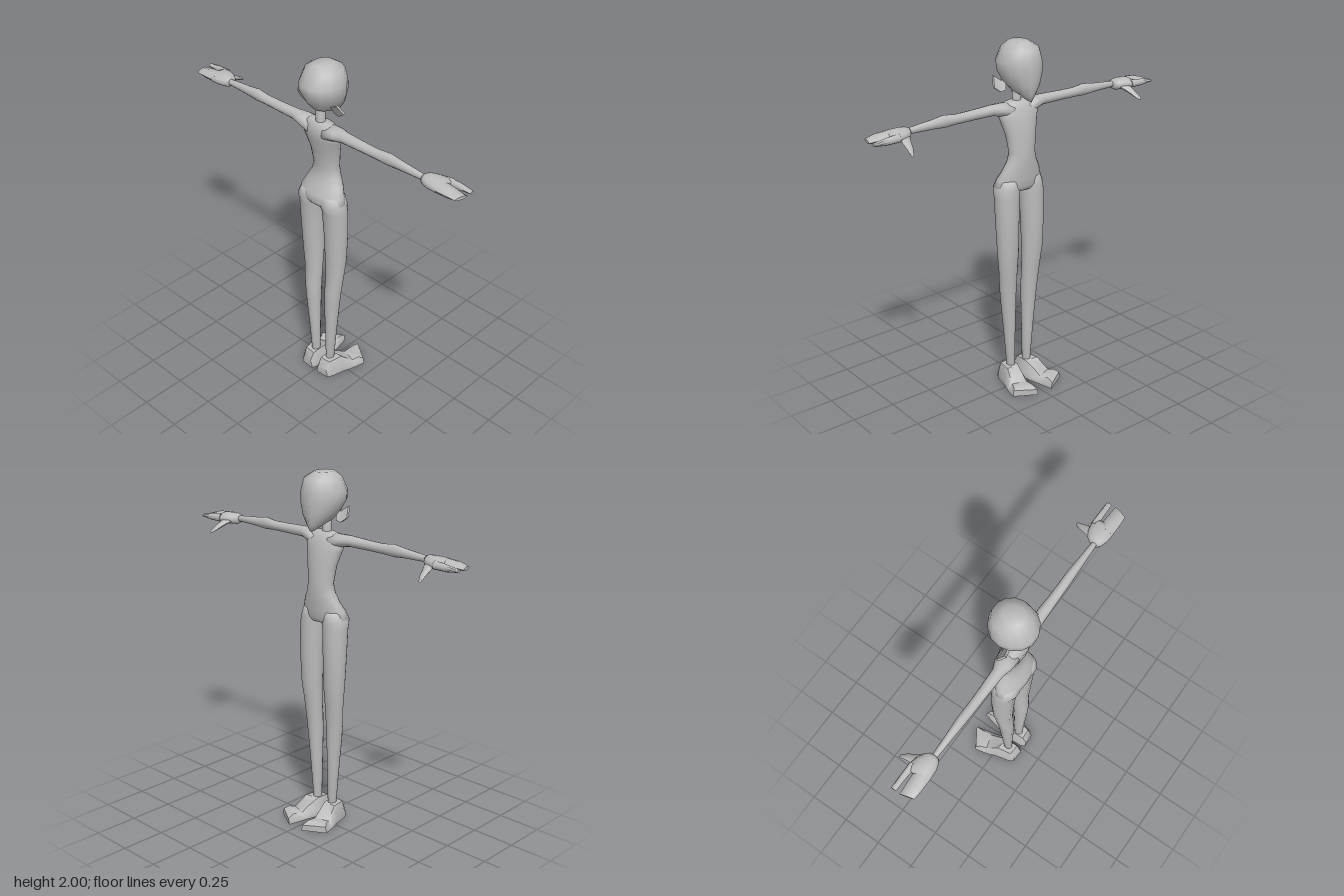
import * as THREE from 'three';
import { toCreasedNormals } from 'three/addons/utils/BufferGeometryUtils.js';

const grey = new THREE.MeshStandardMaterial({ color: 0xbcbcbc });
grey.name = 'plain grey';

// Skins a stack of equal-length rings of [x, y, z] points and caps both ends.
function loft(rings, crease = 0) {
  const n = rings[0].length, pts = rings.flat(), index = [];
  for (let r = 0; r < rings.length - 1; r++) {
    for (let i = 0; i < n; i++) {
      const a = r * n + i, b = r * n + (i + 1) % n;
      index.push(a, b, b + n, a, b + n, a + n);
    }
  }
  for (const last of [false, true]) {
    const start = last ? pts.length - n : 0;
    const ring = last ? rings[rings.length - 1] : rings[0];
    const centre = [0, 1, 2].map(k => ring.reduce((s, p) => s + p[k], 0) / n);
    const c = rings.length * n + (last ? 1 : 0);
    for (let i = 0; i < n; i++) {
      const a = start + i, b = start + (i + 1) % n;
      if (last) index.push(a, b, c); else index.push(b, a, c);
    }
    ring.centre = centre;
  }
  pts.push(rings[0].centre, rings[rings.length - 1].centre);
  // Turn the faces outward, whichever way the rings run.
  let volume = 0;
  const v = i => new THREE.Vector3(...pts[index[i]]);
  for (let i = 0; i < index.length; i += 3) volume += v(i).dot(v(i + 1).cross(v(i + 2)));
  if (volume < 0) index.reverse();
  let geo = new THREE.BufferGeometry();
  geo.setAttribute('position', new THREE.Float32BufferAttribute(pts.flat(), 3));
  geo.setIndex(index);
  if (crease) geo = toCreasedNormals(geo, crease);
  else geo.computeVertexNormals();
  return geo;
}

// Runs a function around a circle of n steps.
const around = (n, f) => Array.from({ length: n }, (_, i) => {
  const t = (i / n) * Math.PI * 2;
  return f(Math.cos(t), Math.sin(t));
});
const mid = (a, b, t) => (a + b) / 2 + (b - a) / 2 * t;

// Upright oval from x and z extents.
const flatOval = (y, x0, x1, z0, z1, n = 16) =>
  around(n, (c, s) => [mid(x0, x1, c), y, mid(z0, z1, s)]);
// Oval standing across the x axis.
const armOval = (x, y0, y1, z0, z1, n = 12) =>
  around(n, (c, s) => [x, mid(y0, y1, c), mid(z0, z1, s)]);

export function createModel() {
  const model = new THREE.Group();
  model.name = 'figure';
  const add = (name, geo) => {
    const mesh = new THREE.Mesh(geo, grey);
    mesh.name = name;
    model.add(mesh);
  };

  // Head: each ring is [face y, back y, face z, back z, half width]
  add('head', loft([
    [2, 2, -0.01, 0.11, 0.05],
    [1.965, 1.97, -0.065, 0.145, 0.1],
    [1.9, 1.9, -0.08, 0.178, 0.122],
    [1.84, 1.855, -0.083, 0.177, 0.12],
    [1.775, 1.795, -0.08, 0.145, 0.092],
    [1.725, 1.755, -0.07, 0.11, 0.056],
    [1.69, 1.74, -0.056, 0.07, 0.02],
  ].map(([yf, yb, zf, zb, w]) =>
    around(14, (c, s) => [w * c, mid(yf, yb, s), mid(zf, zb, s)]))));

  // Neck
  add('neck', loft([
    flatOval(1.64, -0.035, 0.035, 0.035, 0.1),
    flatOval(1.68, -0.025, 0.025, 0.045, 0.095),
    flatOval(1.78, -0.025, 0.025, 0.045, 0.095),
  ]));

  // Torso: [y, half width, front z, back z]
  add('torso', loft([
    [1.678, 0.06, 0.045, 0.095],
    [1.668, 0.1, 0.02, 0.112],
    [1.63, 0.135, 0.003, 0.122],
    [1.58, 0.117, -0.012, 0.118],
    [1.5, 0.094, -0.025, 0.095],
    [1.4, 0.08, -0.03, 0.08],
    [1.35, 0.093, -0.029, 0.086],
    [1.3, 0.119, -0.026, 0.1],
    [1.25, 0.142, -0.02, 0.13],
    [1.21, 0.153, -0.017, 0.136],
    [1.185, 0.13, -0.005, 0.122],
    [1.17, 0.03, 0.03, 0.08],
  ].map(([y, w, z0, z1]) => flatOval(y, -w, w, z0, z1, 20))));

  for (const side of [1, -1]) {
    const name = side > 0 ? 'left' : 'right';
    const put = (part, rings, crease) => add(name + part,
      loft(rings.map(r => r.map(([x, y, z]) => [x * side, y, z])), crease));

    // Leg: [y, inner x, outer x, front z, back z]
    put('Leg', [
      [1.25, 0.01, 0.135, -0.01, 0.12],
      [1.2, 0.003, 0.155, -0.016, 0.134],
      [1.15, 0.012, 0.157, -0.02, 0.12],
      [1, 0.019, 0.155, -0.021, 0.11],
      [0.82, 0.023, 0.147, -0.016, 0.101],
      [0.7, 0.025, 0.136, 0, 0.095],
      [0.6, 0.027, 0.126, 0.008, 0.104],
      [0.5, 0.029, 0.116, 0.014, 0.105],
      [0.3, 0.032, 0.097, 0.025, 0.095],
      [0.07, 0.034, 0.078, 0.035, 0.085],
    ].map(r => flatOval(...r, 14)));

    // Foot: heel to toe, [inner x, inner z, outer x, outer z, height, top inset]
    put('Foot', [
      [0.02, 0.135, 0.1, 0.13, 0.05, 0.012],
      [0.01, 0.11, 0.115, 0.105, 0.098, 0.02],
      [0.004, 0.03, 0.135, 0.02, 0.1, 0.025],
      [0.015, -0.03, 0.15, -0.015, 0.068, 0.028],
      [0.025, -0.075, 0.16, -0.05, 0.04, 0.025],
      [0.04, -0.14, 0.168, -0.085, 0.05, 0.018],
      [0.05, -0.182, 0.173, -0.11, 0.036, 0.006],
    ].map(([xi, zi, xo, zo, h, d]) => [
      [xi, 0, zi], [xi, h * 0.35, zi], [xi + d, h, zi],
      [xo - d, h, zo], [xo, h * 0.35, zo], [xo, 0, zo],
    ]), 0.75);

    // Arm: [x, low y, high y, front z, back z]
    put('Arm', [
      [0.05, 1.58, 1.675, 0.01, 0.12],
      [0.12, 1.607, 1.676, 0.018, 0.118],
      [0.17, 1.616, 1.677, 0.04, 0.105],
      [0.3, 1.617, 1.672, 0.044, 0.1],
      [0.4, 1.617, 1.671, 0.045, 0.097],
      [0.47, 1.613, 1.681, 0.045, 0.096],
      [0.54, 1.619, 1.671, 0.048, 0.092],
      [0.71, 1.624, 1.655, 0.055, 0.083],
    ].map(r => armOval(...r)));

    // Palm, grouped fingers and the single first finger
    put('Palm', [
      [0.688, 1.615, 1.662, 0.04, 0.095],
      [0.705, 1.607, 1.668, 0.018, 0.107],
      [0.74, 1.606, 1.67, 0, 0.118],
      [0.79, 1.608, 1.669, -0.01, 0.121],
      [0.815, 1.617, 1.657, -0.004, 0.117],
    ].map(r => armOval(...r)));
    put('Fingers', [
      armOval(0.78, 1.61, 1.667, 0.03, 0.12, 8),
      armOval(0.86, 1.614, 1.66, 0.037, 0.119, 8),
      around(8, (c, s) => [0.922 - 0.01 * s, 1.634 + 0.009 * c, 0.078 + 0.037 * s]),
    ], 0.9);
    put('FirstFinger', [
      armOval(0.78, 1.615, 1.662, -0.011, 0.03, 8),
      armOval(0.86, 1.617, 1.655, -0.011, 0.022, 8),
      armOval(0.93, 1.627, 1.642, -0.01, 0.019, 8),
    ], 0.9);

    // Thumb, reaching forward and down: [x, y, z, half width, half height]
    put('Thumb', [
      [0.735, 1.635, 0.03, 0.03, 0.022],
      [0.75, 1.615, -0.012, 0.025, 0.018],
      [0.757, 1.595, -0.05, 0.018, 0.015],
      [0.768, 1.575, -0.083, 0.01, 0.01],
    ].map(([x, y, z, w, h]) => around(8, (c, s) => [x + w * c, y + h * s, z + h * 0.5 * s])), 0.9);

    // Ear: a tilted, flaring plate
    put('Ear', [
      [0.075, 1.795, 0.075, 0.085, 1.75, 0.055],
      [0.1, 1.797, 0.082, 0.118, 1.742, 0.055],
      [0.137, 1.825, 0.095, 0.158, 1.77, 0.06],
    ].map(([xa, ya, za, xb, yb, zb]) => [
      [xa, ya, za + 0.007], [xb, yb, zb + 0.007], [xb, yb, zb - 0.007], [xa, ya, za - 0.007],
    ]), 0.6);
  }
  return model;
}
